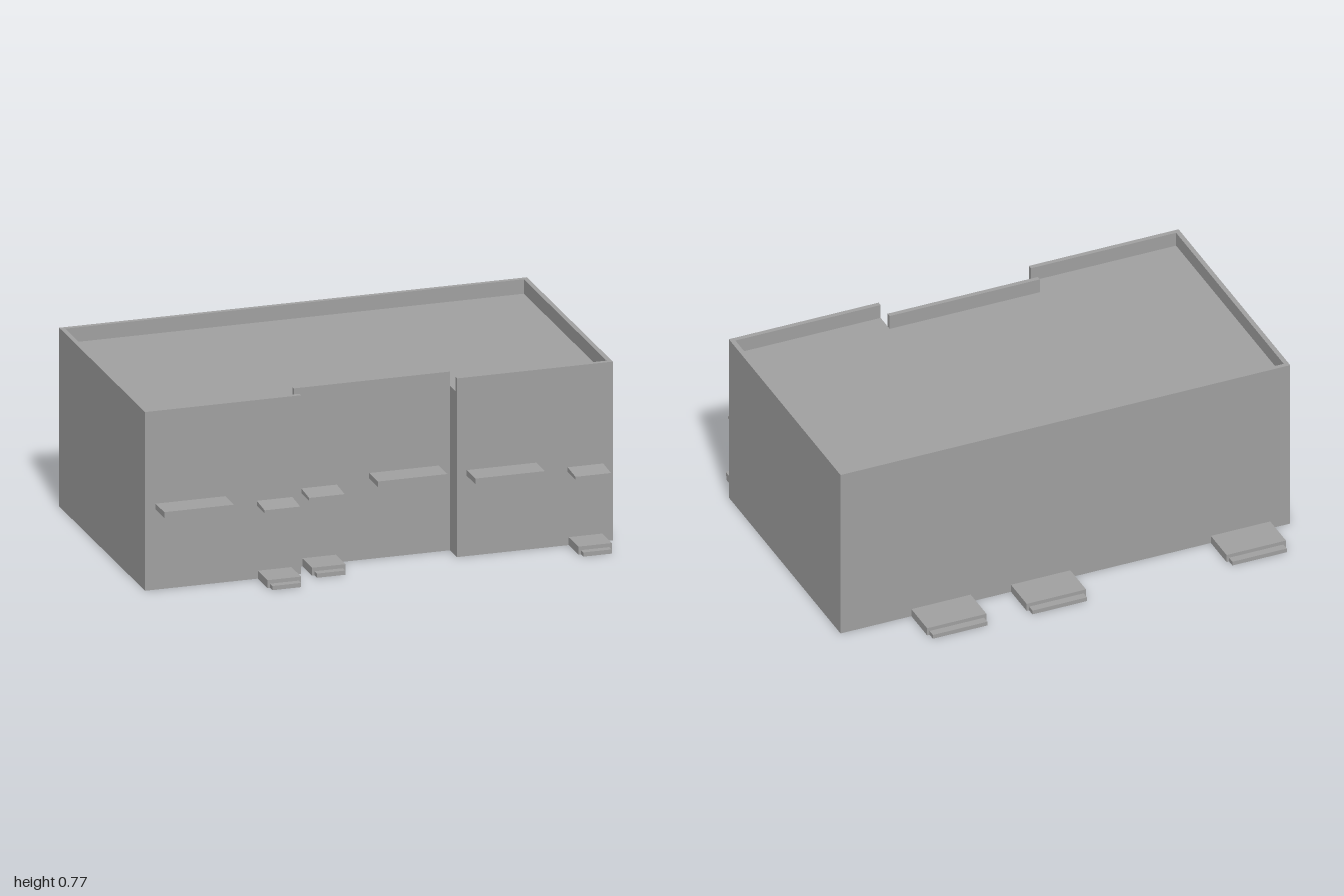
import * as THREE from 'three';

const TOP = 0.767, DECK = 0.705, BACK = -0.538, FRONT = 0.57, RECESS = 0.48, BAY = 0.334;
const T = 0.02; // parapet thickness, also how far canopies and steps run into the walls

export function createModel() {
  const model = new THREE.Group();
  model.name = 'building';
  const grey = new THREE.MeshStandardMaterial({ color: 0xa0a0a0, side: THREE.DoubleSide });
  grey.name = 'grey';

  const add = (name, geometry, parent = model) => {
    const mesh = new THREE.Mesh(geometry, grey);
    mesh.name = name;
    parent.add(mesh);
    return mesh;
  };
  const box = (x0, x1, y0, y1, z0, z1) =>
    new THREE.BoxGeometry(x1 - x0, y1 - y0, Math.abs(z1 - z0))
      .translate((x0 + x1) / 2, (y0 + y1) / 2, (z0 + z1) / 2);

  // Footprint with the recessed middle bay, as [x, z], counter-clockwise from above
  const plan = [
    [-1, BACK], [-1, FRONT], [-BAY, FRONT], [-BAY, RECESS],
    [BAY, RECESS], [BAY, FRONT], [1, FRONT], [1, BACK],
  ];

  // Thin outer walls, open underneath
  const pos = [];
  plan.forEach(([ax, az], i) => {
    const [bx, bz] = plan[(i + 1) % plan.length];
    pos.push(ax, 0, az, bx, 0, bz, bx, DECK, bz, ax, 0, az, bx, DECK, bz, ax, DECK, az);
  });
  const walls = new THREE.BufferGeometry();
  walls.setAttribute('position', new THREE.Float32BufferAttribute(pos, 3));
  walls.computeVertexNormals();
  add('walls', walls);

  // Flat roof deck
  const shape = new THREE.Shape(plan.map(([x, z]) => new THREE.Vector2(x, -z)));
  add('roofDeck', new THREE.ShapeGeometry(shape).rotateX(-Math.PI / 2).translate(0, DECK, 0));

  // Parapets; the short returns beside the recess have none
  add('backParapet', box(-1, 1, DECK, TOP, BACK, BACK + T));
  add('recessParapet', box(-BAY, BAY, DECK, TOP, RECESS - T, RECESS));
  for (const [side, s] of [['left', 1], ['right', -1]]) {
    const [a, b] = s > 0 ? [BAY, 1 - T] : [-1 + T, -BAY];
    add(side + 'FrontParapet', box(a, b, DECK, TOP, FRONT - T, FRONT));
    const [c, d] = s > 0 ? [1 - T, 1] : [-1, -1 + T];
    add(side + 'SideParapet', box(c, d, DECK, TOP, BACK + T, FRONT));
  }

  // Flat window canopies: [x0, x1, wall z]
  for (const [x0, x1, z] of [[-0.955, -0.657, FRONT], [-0.012, 0.286, RECESS], [0.375, 0.673, FRONT]]) {
    add('windowCanopy', box(x0, x1, 0.345, 0.369, z - T, z + 0.112));
  }

  // Door canopies, the top sloping down to the outer edge
  const doors = [[-0.522, -0.37, FRONT], [-0.302, -0.15, RECESS], [0.807, 0.959, FRONT]];
  for (const [x0, x1, z] of doors) {
    const g = box(x0, x1, 0.314, 0.336, z - T, z + 0.1).toNonIndexed();
    const p = g.attributes.position;
    for (let i = 0; i < p.count; i++) {
      if (p.getY(i) > 0.33 && p.getZ(i) > z) p.setY(i, 0.326);
    }
    g.computeVertexNormals();
    add('doorCanopy', g);
  }

  // Hollow step: a box without its underside (face group 3)
  const hollow = (...size) => {
    const g = box(...size);
    const index = Array.from(g.index.array);
    index.splice(18, 6);
    g.setIndex(index);
    g.clearGroups();
    return g;
  };
  const steps = (name, x0, x1, z, dir) => {
    const group = new THREE.Group();
    group.name = name;
    add('upperStep', hollow(x0, x1, 0, 0.034, z - dir * T, z + dir * 0.125), group);
    add('lowerStep', hollow(x0 + 0.011, x1 - 0.011, 0, 0.018, z + dir * 0.125, z + dir * 0.156), group);
    model.add(group);
  };
  for (const [x0, x1, z] of doors) steps('frontSteps', x0 + 0.004, x1 - 0.004, z, 1);

  // Wider steps along the back
  const lowerBack = [[-0.911, -0.647], [-0.022, 0.242], [0.421, 0.685]];
  for (const [x0, x1] of lowerBack) {
    const group = new THREE.Group();
    group.name = 'backSteps';
    add('upperStep', hollow(x0, x1, 0, 0.034, BACK + T, -0.694), group);
    add('lowerStep', hollow(x0 + 0.011, x1 - 0.011, 0, 0.018, -0.694, -0.727), group);
    model.add(group);
  }
  return model;
}
